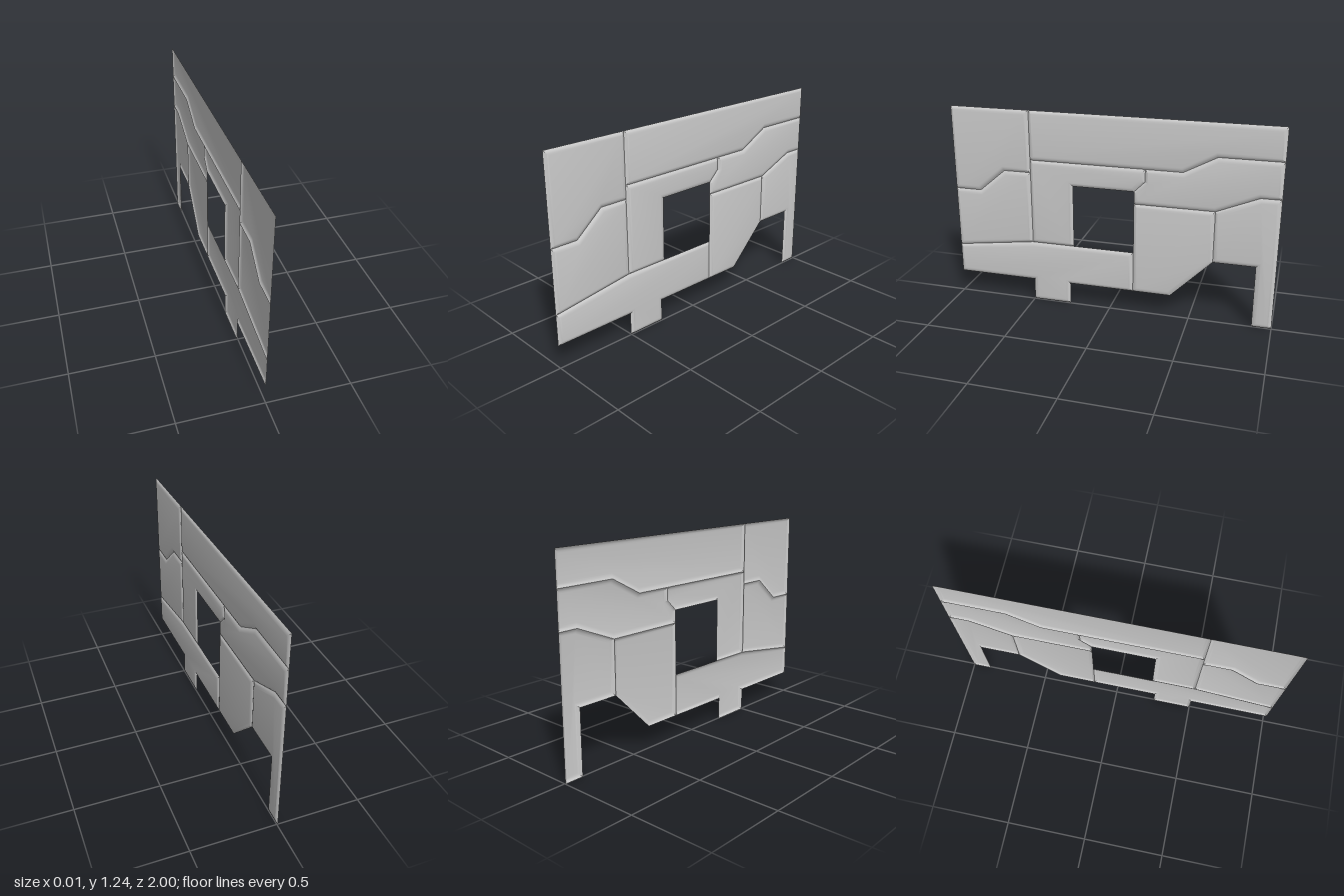
import * as THREE from 'three';
import { toCreasedNormals } from 'three/addons/utils/BufferGeometryUtils.js';

// Outline of each plate as [z, y] corners.
const PLATES = {
  upperFrontPlate: [[1, 1.235], [0.5, 1.235], [0.5, 0.85], [0.67, 0.85], [0.835, 0.71], [1, 0.71]],
  upperRearPlate: [[0.5, 1.235], [-1, 1.235], [-1, 1.035], [-0.63, 1.035], [-0.435, 0.93], [0.5, 0.93]],
  middleFrontPlate: [[1, 0.71], [0.835, 0.71], [0.67, 0.85], [0.5, 0.85], [0.5, 0.395], [1, 0.325]],
  windowFramePlate: [[0.5, 0.93], [-0.213, 0.93], [-0.213, 0.853], [-0.147, 0.787], [0.23, 0.787],
    [0.23, 0.395], [0.5, 0.395]],
  middleRearPlate: [[-0.213, 0.93], [-0.435, 0.93], [-0.63, 1.035], [-1, 1.035], [-1, 0.815], [-0.88, 0.815],
    [-0.63, 0.71], [-0.147, 0.71], [-0.147, 0.787], [-0.213, 0.853]],
  lowerRearPlate: [[-0.147, 0.71], [-0.63, 0.71], [-0.63, 0.39], [-0.38, 0.137], [-0.147, 0.137]],
  rearLegPlate: [[-0.63, 0.71], [-0.88, 0.815], [-1, 0.815], [-1, 0], [-0.882, 0], [-0.882, 0.39], [-0.63, 0.39]],
  lowerFrontPlate: [[1, 0.325], [0.5, 0.395], [-0.147, 0.395], [-0.147, 0.137], [0.257, 0.137], [0.257, 0],
    [0.5, 0], [0.5, 0.137], [1, 0.137]],
};

// Rounded bevel: [inset from the outline, x height].
const BEVEL = [[0, -0.006], [0.009, 0], [0.019, 0.0036], [0.029, 0.005]];

// Move every edge of a counter-clockwise outline inwards by d, with mitred corners.
function inset(outline, d) {
  const n = outline.length;
  return outline.map((p, i) => {
    const a = p.clone().sub(outline[(i + n - 1) % n]).normalize();
    const b = outline[(i + 1) % n].clone().sub(p).normalize();
    const na = new THREE.Vector2(-a.y, a.x);
    const nb = new THREE.Vector2(-b.y, b.x);
    return p.clone().addScaledVector(na.clone().add(nb), d / (1 + na.dot(nb)));
  });
}

// Open sheet: bevelled rim rising to a flat face, facing +x.
function plateGeometry(corners) {
  const outline = corners.map(([z, y]) => new THREE.Vector2(-z, y));
  if (THREE.ShapeUtils.isClockWise(outline)) outline.reverse();
  const n = outline.length;
  const loops = BEVEL.map(([d]) => inset(outline, d));
  const positions = [];
  const index = [];
  loops.forEach((loop, k) => loop.forEach((p) => positions.push(BEVEL[k][1], p.y, -p.x)));
  for (let k = 0; k < loops.length - 1; k++) {
    for (let i = 0; i < n; i++) {
      const j = (i + 1) % n;
      const a = k * n + i, b = k * n + j;
      index.push(a, b, b + n, a, b + n, a + n);
    }
  }
  const top = (loops.length - 1) * n;
  for (const face of THREE.ShapeUtils.triangulateShape(loops[loops.length - 1], [])) {
    index.push(...face.map((i) => i + top));
  }
  const geometry = new THREE.BufferGeometry();
  geometry.setAttribute('position', new THREE.Float32BufferAttribute(positions, 3));
  geometry.setIndex(index);
  return toCreasedNormals(geometry, 0.4);
}

export function createModel() {
  const group = new THREE.Group();
  group.name = 'panelledWall';
  const material = new THREE.MeshStandardMaterial({ color: 0xcccccc, side: THREE.DoubleSide });
  for (const [name, corners] of Object.entries(PLATES)) {
    const mesh = new THREE.Mesh(plateGeometry(corners), material);
    mesh.name = name;
    group.add(mesh);
  }
  return group;
}
